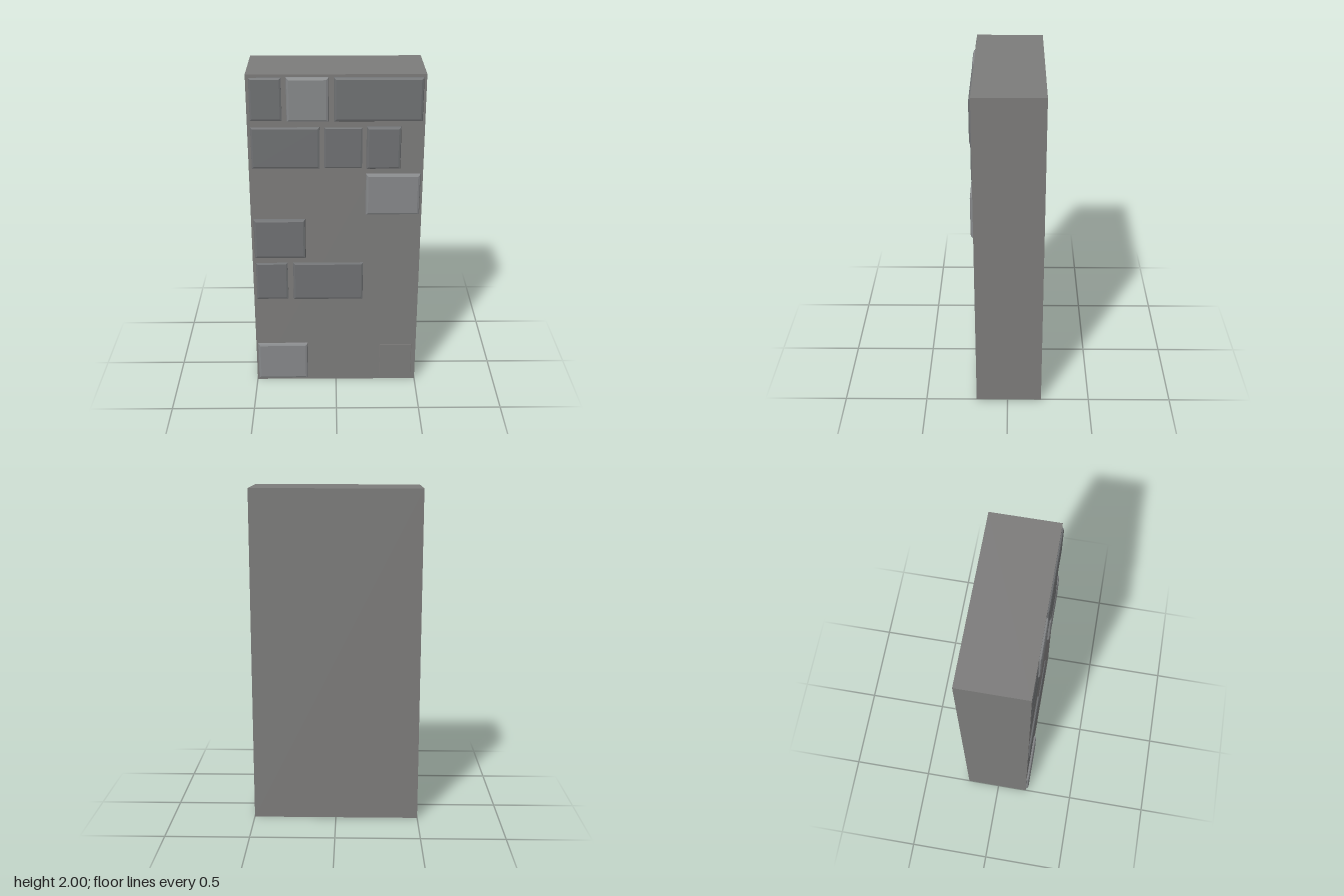
import * as THREE from 'three';

const ROW = 2 / 7; // seven courses of stone
const BEVEL = 0.015;

const wallMat = new THREE.MeshStandardMaterial({ color: 0x7c7b7a });
const darkMat = new THREE.MeshStandardMaterial({ color: 0x6f7173 });
const lightMat = new THREE.MeshStandardMaterial({ color: 0x86888a });

// Stone slab with a chamfered front; its back is sunk into the wall
function makeStone(x0, x1, row, front, material) {
  const hw = (x1 - x0) / 2 - BEVEL;
  const hh = 0.257 / 2 - BEVEL;
  const shape = new THREE.Shape([
    new THREE.Vector2(-hw, -hh), new THREE.Vector2(hw, -hh),
    new THREE.Vector2(hw, hh), new THREE.Vector2(-hw, hh),
  ]);
  const geometry = new THREE.ExtrudeGeometry(shape, {
    depth: 0.02, bevelSize: BEVEL, bevelThickness: BEVEL, bevelSegments: 2,
  });
  geometry.translate(0, 0, -0.02 - BEVEL);
  const stone = new THREE.Mesh(geometry, material);
  stone.position.set((x0 + x1) / 2, (row + 0.5) * ROW, front);
  return stone;
}

export function createModel() {
  const model = new THREE.Group();
  model.name = 'stoneWall';

  // Main slab
  const wall = new THREE.Mesh(new THREE.BoxGeometry(1, 2, 0.398), wallMat);
  wall.name = 'wallSlab';
  wall.position.set(0, 1, -0.008);
  model.add(wall);

  // Raised stones: left edge, right edge, course from the bottom, front depth, material
  const stones = new THREE.Group();
  stones.name = 'raisedStones';
  [
    [-0.487, -0.3, 6, 0.196, darkMat],
    [-0.278, -0.04, 6, 0.205, lightMat],
    [-0.013, 0.487, 6, 0.203, darkMat],
    [-0.487, -0.09, 5, 0.196, darkMat],
    [-0.073, 0.155, 5, 0.195, darkMat],
    [0.172, 0.37, 5, 0.203, darkMat],
    [0.172, 0.487, 4, 0.206, lightMat],
    [-0.487, -0.18, 3, 0.204, darkMat],
    [-0.487, -0.287, 2, 0.196, darkMat],
    [-0.262, 0.166, 2, 0.199, darkMat],
    [-0.49, -0.178, 0, 0.207, lightMat],
    [0.262, 0.487, 0, 0.192, wallMat],
  ].forEach((spec, i) => {
    const stone = makeStone(...spec);
    stone.name = `stone${i + 1}`;
    stones.add(stone);
  });
  model.add(stones);

  return model;
}
